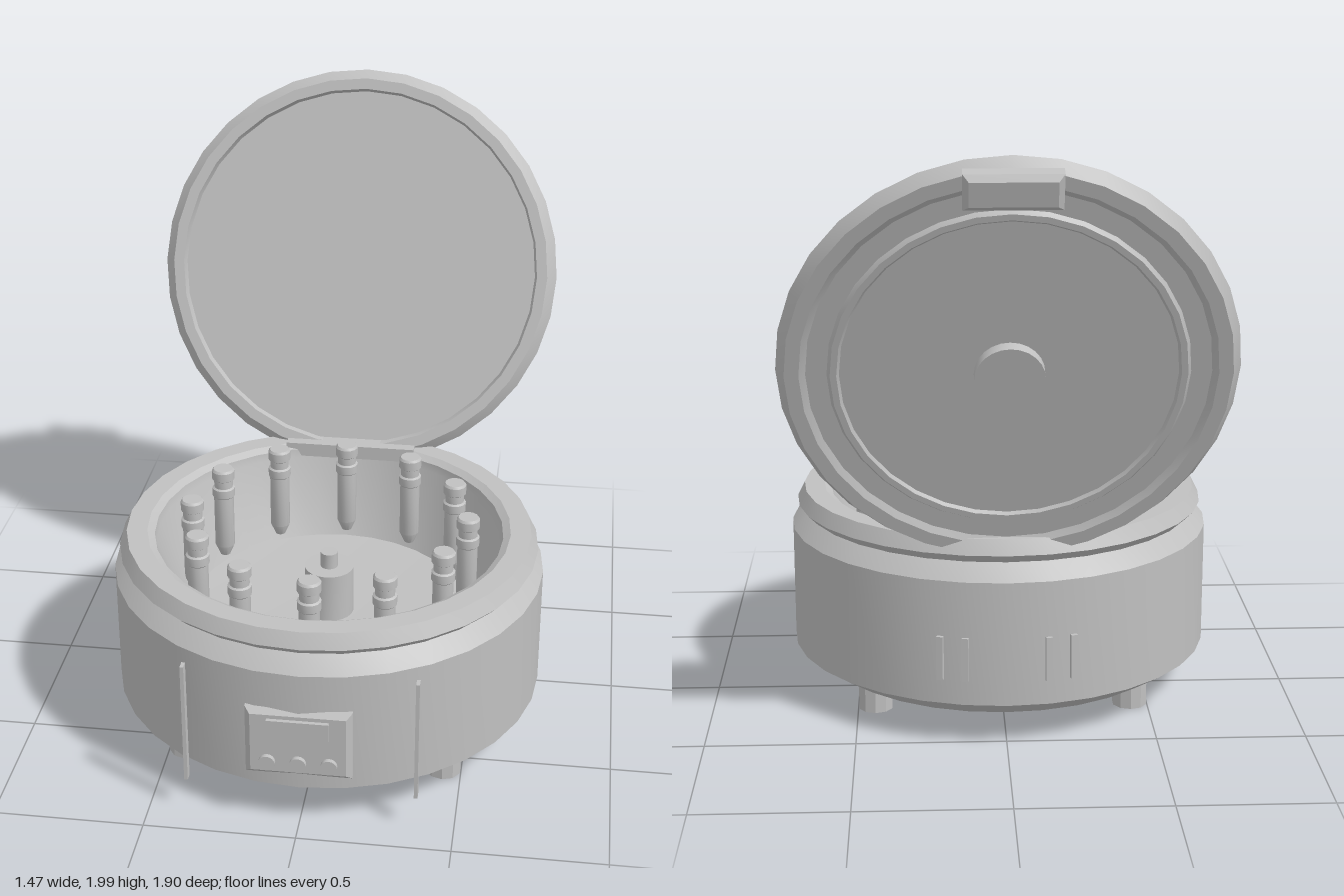
import * as THREE from 'three';
import { toCreasedNormals } from 'three/addons/utils/BufferGeometryUtils.js';

const grey = new THREE.MeshStandardMaterial({ color: 0xc0c0c0 });
grey.name = 'grey';

export function createModel() {
  const model = new THREE.Group();
  model.name = 'benchCentrifuge';

  const add = (parent, name, geometry, x = 0, y = 0, z = 0) => {
    const mesh = new THREE.Mesh(geometry, grey);
    mesh.name = name;
    mesh.position.set(x, y, z);
    parent.add(mesh);
    return mesh;
  };
  const lathe = (profile, sides) => toCreasedNormals(
    new THREE.LatheGeometry(profile.map(([r, y]) => new THREE.Vector2(r, y)), sides), 0.45);
  const box = (w, h, d) => new THREE.BoxGeometry(w, h, d);
  const disc = (r, h, sides) => toCreasedNormals(new THREE.CylinderGeometry(r, r, h, sides), 0.6);
  // Plate with a bevelled front face, facing +z, back at z = 0
  const bevelPlate = (w, h, d, b) => {
    const s = new THREE.Shape();
    const x = w / 2 - b, y = h / 2 - b;
    s.moveTo(-x, -y).lineTo(x, -y).lineTo(x, y).lineTo(-x, y).closePath();
    const g = new THREE.ExtrudeGeometry(s, {
      depth: d - 2 * b, bevelEnabled: true, bevelSegments: 1, bevelSize: b, bevelThickness: b });
    return g.translate(0, 0, b);
  };

  // Base unit: everything round shares this axis
  const base = new THREE.Group();
  base.name = 'base';
  base.position.z = 0.19;
  model.add(base);

  // Housing with grooved rim and hollow chamber
  add(base, 'housing', lathe([
    [0, 0.08], [0.635, 0.08], [0.735, 0.145], [0.735, 0.57], [0.69, 0.62], [0.685, 0.625],
    [0.715, 0.655], [0.69, 0.705], [0.62, 0.705], [0.595, 0.69], [0.59, 0.66],
    [0.475, 0.39], [0, 0.36],
  ], 32));

  // Rotor hub
  add(base, 'rotorHub', disc(0.085, 0.18, 20), 0, 0.45, 0);
  add(base, 'rotorPin', disc(0.03, 0.07, 14), 0, 0.56, 0);

  // Ring of capped tubes
  const tube = lathe([
    [0, 0.41], [0.018, 0.42], [0.035, 0.46], [0.035, 0.655], [0.04, 0.66], [0.04, 0.69],
    [0.033, 0.695], [0.033, 0.722], [0.04, 0.727], [0.04, 0.758], [0.034, 0.766], [0, 0.766],
  ], 14);
  for (let i = 0; i < 12; i++) {
    const a = i * Math.PI / 6;
    add(base, 'sampleTube', tube, 0.475 * Math.sin(a), 0, 0.475 * Math.cos(a));
  }

  // Feet
  const foot = new THREE.CylinderGeometry(0.06, 0.06, 0.09, 10).toNonIndexed();
  foot.computeVertexNormals();
  for (const x of [-0.44, 0.44])
    for (const z of [-0.38, 0.38]) add(base, 'foot', foot, x, 0.045, z);

  // Rear vents, in two mirrored pairs
  for (const deg of [-17.3, -10.7, 10.7, 17.3]) {
    const a = Math.PI + deg * Math.PI / 180;
    const vent = add(base, 'rearVent', box(0.022, 0.15, 0.03),
      0.73 * Math.sin(a), 0.305, 0.73 * Math.cos(a));
    vent.rotation.y = a;
  }

  // Front trim strips
  for (const x of [-0.375, 0.375]) add(model, 'trimStrip', box(0.012, 0.435, 0.03), x, 0.335, 0.882);

  // Control panel
  add(model, 'controlPanel', bevelPlate(0.345, 0.25, 0.08, 0.018), 0, 0.315, 0.853);
  add(model, 'display', box(0.2, 0.068, 0.02), 0, 0.375, 0.936);
  for (const x of [-0.1, 0, 0.1]) {
    const button = add(model, 'button', disc(0.027, 0.022, 16), x, 0.245, 0.937);
    button.rotation.x = Math.PI / 2;
  }

  // Hinge
  add(model, 'hinge', box(0.47, 0.05, 0.09), 0, 0.69, -0.415);

  // Open lid: local y points out of its back, local z towards its upper edge
  const lid = new THREE.Group();
  lid.name = 'lid';
  lid.position.set(0, 1.32, -0.61);
  lid.rotation.x = -108.4 * Math.PI / 180;
  model.add(lid);
  add(lid, 'lidShell', lathe([
    [0, 0.025], [0.64, 0.025], [0.648, 0], [0.685, 0], [0.718, 0.035], [0.69, 0.08],
    [0.645, 0.08], [0.625, 0.066], [0.56, 0.066], [0.55, 0.08], [0.53, 0.08], [0.522, 0.07], [0, 0.07],
  ], 32));
  add(lid, 'lidKnob', disc(0.11, 0.05, 24), 0, 0.085, 0);
  const latch = add(lid, 'lidLatch', bevelPlate(0.295, 0.115, 0.075, 0.018), 0, 0.062, 0.64);
  latch.rotation.x = -Math.PI / 2;

  return model;
}
